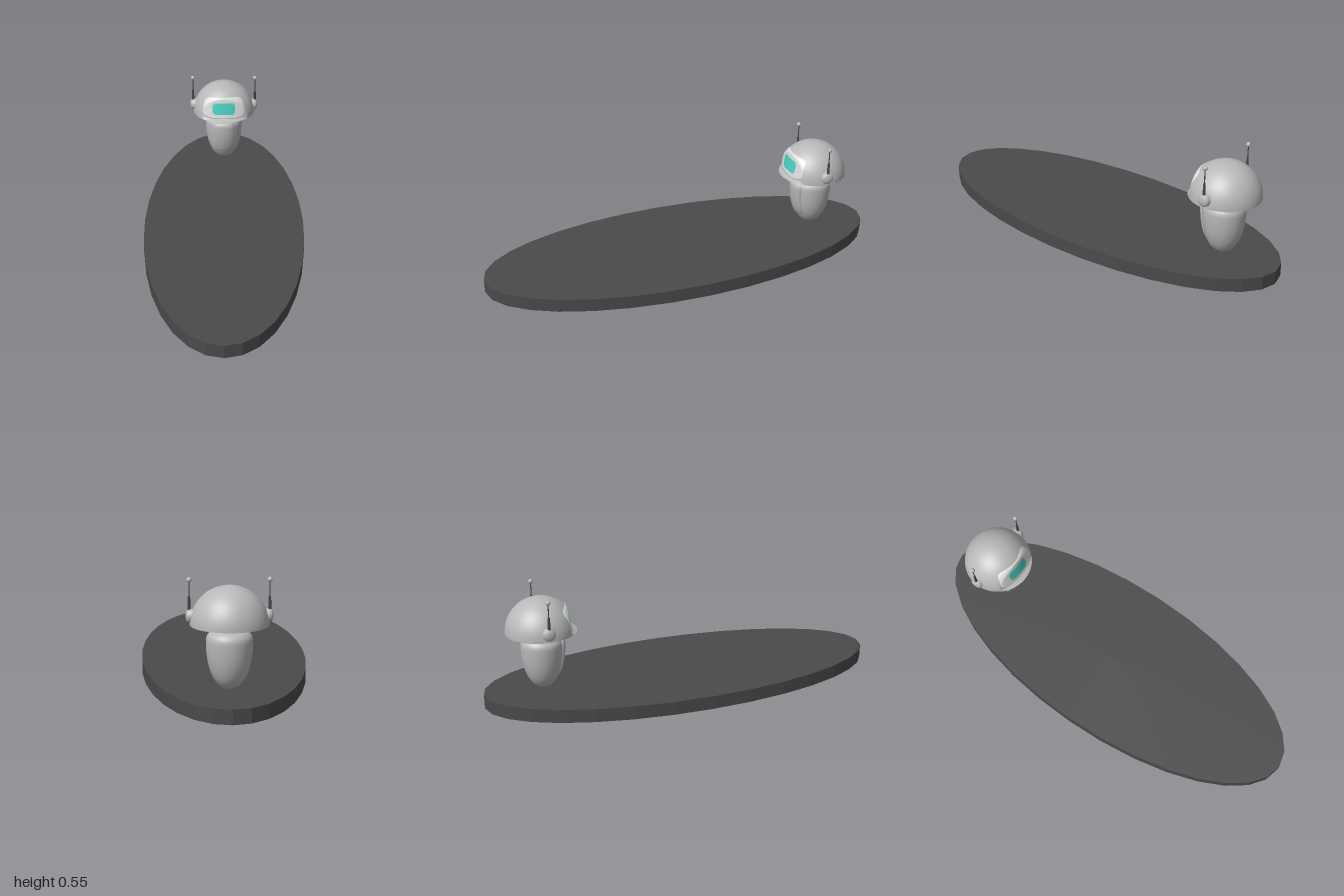
import * as THREE from 'three';
import { mergeVertices } from 'three/addons/utils/BufferGeometryUtils.js';

const flat = (name, color, extra = {}) => Object.assign(new THREE.MeshStandardMaterial({ color, ...extra }), { name });

const DOME_R = 0.168, DOME_Y = 0.35;

// Body radius at a height: a blunt egg, narrow at the bottom
function bodyRadius(y) {
  const [t, n] = y > 0.28 ? [(y - 0.28) / 0.055, 2.5] : [(0.28 - y) / 0.21, 2.2];
  return 0.1 * Math.pow(Math.max(0, 1 - Math.pow(t, n)), 1 / n);
}
const bodyZ = (x, y) => Math.sqrt(Math.max(0, bodyRadius(y) ** 2 - x * x));

// Front of the helmet: sphere cut by a gently curved, leaning visor surface
const cutZ = (x, y) => 0.138 - 1.7 * x * x - 0.18 * (y - 0.36);
const helmetZ = (x, y) =>
  Math.min(cutZ(x, y), Math.sqrt(Math.max(0, DOME_R ** 2 - x * x - (y - DOME_Y) ** 2)));

// Move every vertex by a rule, then weld and smooth
function reshape(geo, rule) {
  const p = geo.attributes.position, v = new THREE.Vector3();
  for (let i = 0; i < p.count; i++) {
    rule(v.fromBufferAttribute(p, i));
    p.setXYZ(i, v.x, v.y, v.z);
  }
  geo.deleteAttribute('uv');
  geo.deleteAttribute('normal');
  const welded = mergeVertices(geo, 1e-6);
  welded.computeVertexNormals();
  return welded;
}

// Rounded-rectangle plate that follows a surface; its rim sinks in
function plate({ w, h, y, taper, power, lift, surface }) {
  return reshape(new THREE.RingGeometry(0, 1, 72, 16), (v) => {
    const r = Math.hypot(v.x, v.y);
    const n = r > 0 ? Math.pow(Math.abs(v.x / r) ** power + Math.abs(v.y / r) ** power, 1 / power) : 1;
    const s = Math.min(1, r * 16 / 15) / n / (r || 1); // last ring is a vertical wall
    const b = v.y * s;
    const px = v.x * s * w * (1 + taper * b), py = y + b * h;
    v.set(px, py, surface(px, py) + (r > 0.97 ? -0.004 : lift(b) * (r > 0.9 ? 0.75 : 1)));
  });
}

export function createModel() {
  const model = new THREE.Group();
  const baseGrey = flat('base dark grey', 0x4a4a4a, { flatShading: true });
  const shell = flat('shell grey', 0xb8b8b8);
  const dark = flat('antenna dark grey', 0x484848);
  const visorPale = flat('visor pale grey', 0xdcdfdc);
  const teal = flat('screen teal', 0x48d2c2, { side: THREE.DoubleSide });

  const add = (parent, name, geo, mat, x = 0, y = 0, z = 0) => {
    const m = new THREE.Mesh(geo, mat);
    m.name = name;
    m.position.set(x, y, z);
    parent.add(m);
    return m;
  };

  // Oval base slab
  add(model, 'base', new THREE.CylinderGeometry(1, 1, 0.065, 32).scale(0.4, 1, 1), baseGrey, 0, 0.0325, 0);

  const robot = new THREE.Group();
  robot.name = 'robot';
  robot.position.z = -0.713;
  model.add(robot);

  // Body and chest panel
  const profile = [];
  for (let i = 0; i <= 40; i++) {
    const y = 0.07 + 0.265 * (1 - Math.cos(Math.PI * i / 40)) / 2;
    profile.push(new THREE.Vector2(bodyRadius(y), y));
  }
  add(robot, 'body', new THREE.LatheGeometry(profile, 48), shell);
  add(robot, 'chestPanel', plate({
    w: 0.056, h: 0.09, y: 0.221, taper: 0.06, power: 6,
    lift: (b) => 0.009 + 0.003 * b, surface: bodyZ,
  }), shell);

  // Helmet dome with the cut front, a lip at the bottom and a flat underside
  const dome = new THREE.SphereGeometry(DOME_R, 96, 32, 0, Math.PI * 2, 0, Math.PI / 2);
  add(robot, 'helmet', reshape(dome, (v) => {
    if (v.y > 0.002) v.z = Math.min(v.z, cutZ(v.x, v.y + DOME_Y));
  }), shell, 0, DOME_Y, 0);
  add(robot, 'helmetUnderside', new THREE.CircleGeometry(DOME_R, 96).rotateX(Math.PI / 2), shell, 0, DOME_Y, 0);

  // Visor
  add(robot, 'visor', plate({
    w: 0.112, h: 0.057, y: 0.416, taper: -0.09, power: 4,
    lift: () => 0.004, surface: helmetZ,
  }), visorPale);

  // Screen with stepped corners: a tall middle and two shorter sides
  for (const [x, w, h] of [[0, 0.104, 0.064], [-0.0565, 0.009, 0.047], [0.0565, 0.009, 0.047]]) {
    const geo = new THREE.PlaneGeometry(w, h, 12, 6).translate(x, 0.414, 0);
    add(robot, 'screen', reshape(geo, (v) => { v.z = helmetZ(v.x, v.y) + 0.0055; }), teal);
  }

  // Ear caps and antennas on both sides
  const earProfile = [[0.03, 0], [0.03, 0.012], [0.028, 0.022], [0.023, 0.028], [0.012, 0.031], [0, 0.032]]
    .map(([r, y]) => new THREE.Vector2(r, y));
  for (const side of [1, -1]) {
    const label = side > 0 ? 'left' : 'right';
    const ear = add(robot, label + 'Ear', new THREE.LatheGeometry(earProfile, 32), shell, side * 0.153, 0.388, 0);
    ear.rotation.z = -side * Math.PI / 2;
    const x = side * 0.17;
    add(robot, label + 'AntennaBase', new THREE.CylinderGeometry(0.005, 0.0075, 0.07, 16), dark, x, 0.437, 0);
    add(robot, label + 'AntennaRod', new THREE.CylinderGeometry(0.0025, 0.0025, 0.07, 12), dark, x, 0.505, 0);
    add(robot, label + 'AntennaBall', new THREE.SphereGeometry(0.011, 20, 14), shell, x, 0.542, 0);
  }
  return model;
}
